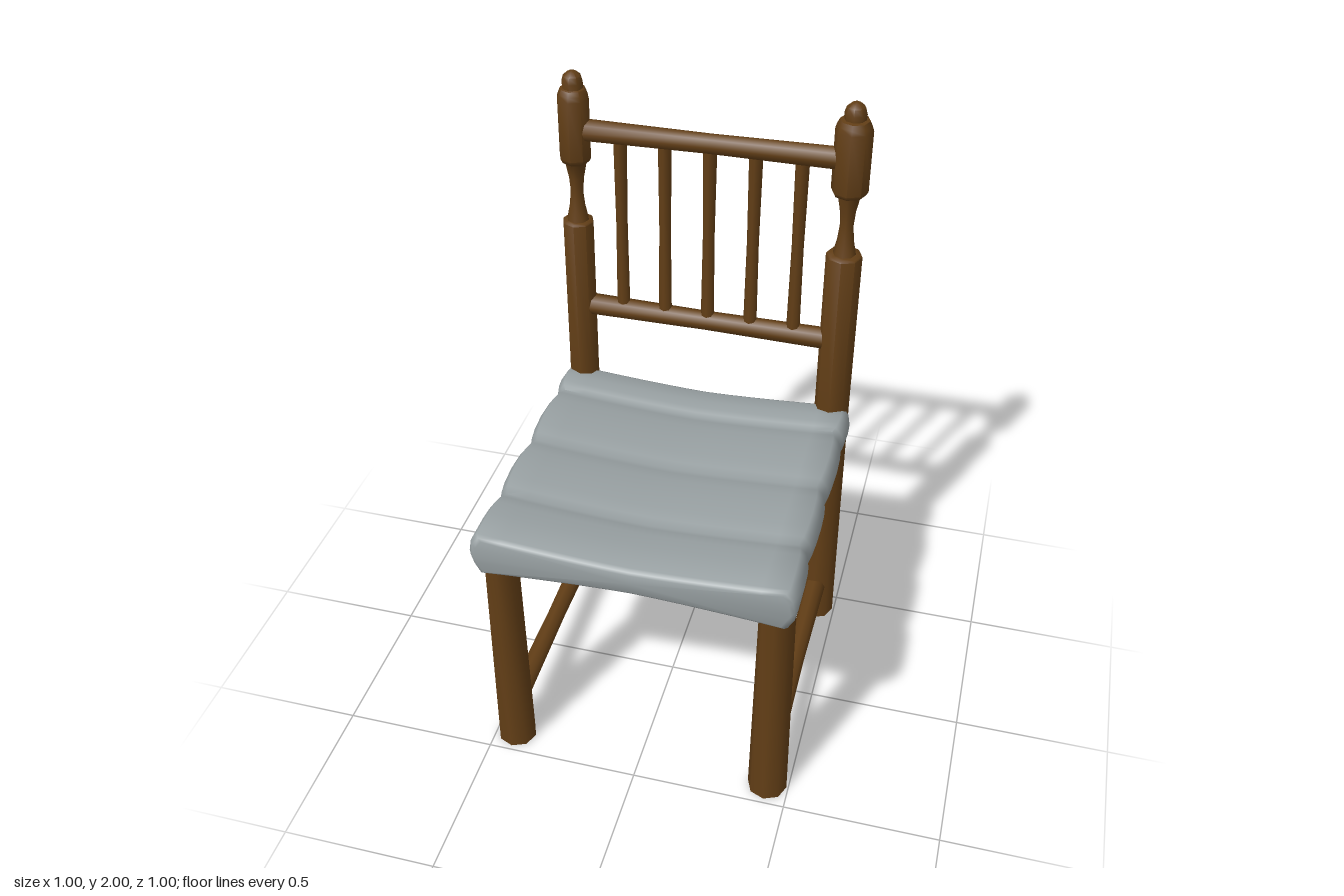
import * as THREE from 'three';
import { toCreasedNormals } from 'three/addons/utils/BufferGeometryUtils.js';

const wood = new THREE.MeshStandardMaterial({ color: 0x623e16 });
const fabric = new THREE.MeshStandardMaterial({ color: 0x98a0a2 });

// Eight-sided turned piece from [radius, height] pairs
function turned(name, profile) {
  const points = profile.map(([r, y]) => new THREE.Vector2(r, y));
  const mesh = new THREE.Mesh(toCreasedNormals(new THREE.LatheGeometry(points, 8), 0.85), wood);
  mesh.name = name;
  return mesh;
}

// Round bar between two points, slightly slimmer at its middle
function bar(name, from, to, rEnd, rMid) {
  const a = new THREE.Vector3(...from), b = new THREE.Vector3(...to);
  const h = a.distanceTo(b) / 2;
  const mesh = turned(name, [[0, -h], [rEnd, -h], [rMid, 0], [rEnd, h], [0, h]]);
  mesh.position.copy(a).add(b).multiplyScalar(0.5);
  mesh.quaternion.setFromUnitVectors(new THREE.Vector3(0, 1, 0), b.sub(a).normalize());
  return mesh;
}

// Padded seat: outline in x/y lofted along z, pinched at the seams
function createSeat() {
  const outline = [];
  const steps = 12, half = 0.472;
  const dip = (u) => 0.028 * (1 - Math.pow(Math.abs(u), 1.4));
  for (let i = 0; i <= steps; i++) {
    const u = 1 - 2 * i / steps;
    outline.push([u * half, 0.935 - dip(u), 1]);
  }
  outline.push([-0.493, 0.905, 0.8], [-0.5, 0.865, 0.5], [-0.491, 0.82, 0.5]);
  for (let i = 0; i <= steps; i++) {
    const u = -1 + 2 * i / steps;
    outline.push([u * half, 0.785 + dip(u), 0.25]);
  }
  outline.push([0.491, 0.82, 0.5], [0.5, 0.865, 0.5], [0.493, 0.905, 0.8]);

  // Rings as [z, seam depth, end rounding]
  const rings = [[0.503, 0, 0.018], [0.498, 0, 0.008], [0.485, 0, 0]];
  const seams = [0.5, 0.27, -0.012, -0.3, -0.44];
  for (let p = 0; p < 4; p++) {
    const at = (t) => THREE.MathUtils.lerp(seams[p], seams[p + 1], t);
    if (p > 0) rings.push([at(0.1), 0.009, 0], [at(0.25), 0.003, 0]);
    rings.push([at(0.5), 0, 0]);
    if (p < 3) rings.push([at(0.75), 0.003, 0], [at(0.9), 0.009, 0], [seams[p + 1], 0.018, 0]);
  }
  rings.push([-0.425, 0, 0.003], [-0.44, 0, 0.014]);

  const n = outline.length, pos = [], index = [];
  for (const [z, seam, round] of rings) {
    for (const [x, y, share] of outline) {
      const side = Math.abs(x) > half - 0.001 ? Math.sign(x) : 0;
      pos.push(x - side * (seam * 0.8 + round), y - Math.sign(y - 0.86) * (seam * share + round * 0.8), z);
    }
  }
  for (let r = 0; r < rings.length - 1; r++) {
    for (let i = 0; i < n; i++) {
      const a = r * n + i, b = r * n + (i + 1) % n;
      index.push(a, a + n, b, b, a + n, b + n);
    }
  }
  // End caps
  const last = (rings.length - 1) * n, centre = pos.length / 3;
  pos.push(0, 0.86, rings[0][0], 0, 0.86, -0.44);
  for (let i = 0; i < n; i++) {
    const j = (i + 1) % n;
    index.push(centre, i, j, centre + 1, last + j, last + i);
  }
  const geo = new THREE.BufferGeometry();
  geo.setAttribute('position', new THREE.Float32BufferAttribute(pos, 3));
  geo.setIndex(index);
  const mesh = new THREE.Mesh(toCreasedNormals(geo, 1.25), fabric);
  mesh.name = 'seatCushion';
  return mesh;
}

export function createModel() {
  const chair = new THREE.Group();
  chair.name = 'chair';
  chair.add(createSeat());

  const zBack = -0.438, zFront = 0.42;
  for (const s of [-1, 1]) {
    const side = s > 0 ? 'left' : 'right';
    const r = s > 0 ? 0.057 : 0.051;
    // Back post with turned neck and finial
    const post = turned(side + 'BackPost', [
      [0, 0], [0.064, 0], [0.06, 0.5], [r, 0.95], [r, 1.495], [r - 0.004, 1.5], [0.036, 1.502],
      [0.026, 1.55], [0.021, 1.6], [0.025, 1.65], [0.035, 1.7], [r - 0.006, 1.708], [r, 1.72],
      [r, 1.915], [r - 0.005, 1.93], [r - 0.012, 1.945], [0.033, 1.947], [0.034, 1.965],
      [0.028, 1.985], [0.014, 1.997], [0, 2]]);
    post.position.set(s * 0.43, 0, zBack);
    // Front leg
    const leg = turned(side + 'FrontLeg', [[0, 0], [0.064, 0], [0.055, 0.82], [0, 0.82]]);
    leg.position.set(s * 0.43, 0, zFront);
    chair.add(post, leg);
    // Side stretcher
    chair.add(bar(side + 'Stretcher', [s * 0.43, 0.145, zFront], [s * 0.43, 0.145, zBack], 0.036, 0.031));
  }

  // Back rails and spindles
  chair.add(bar('topRail', [-0.42, 1.812, zBack], [0.42, 1.818, zBack], 0.036, 0.032));
  chair.add(bar('lowerRail', [-0.42, 1.188, zBack], [0.42, 1.182, zBack], 0.036, 0.032));
  for (let i = -2; i <= 2; i++) {
    chair.add(bar('spindle', [i * 0.142, 1.19, zBack], [i * 0.142, 1.81, zBack], 0.022, 0.019));
  }
  return chair;
}
